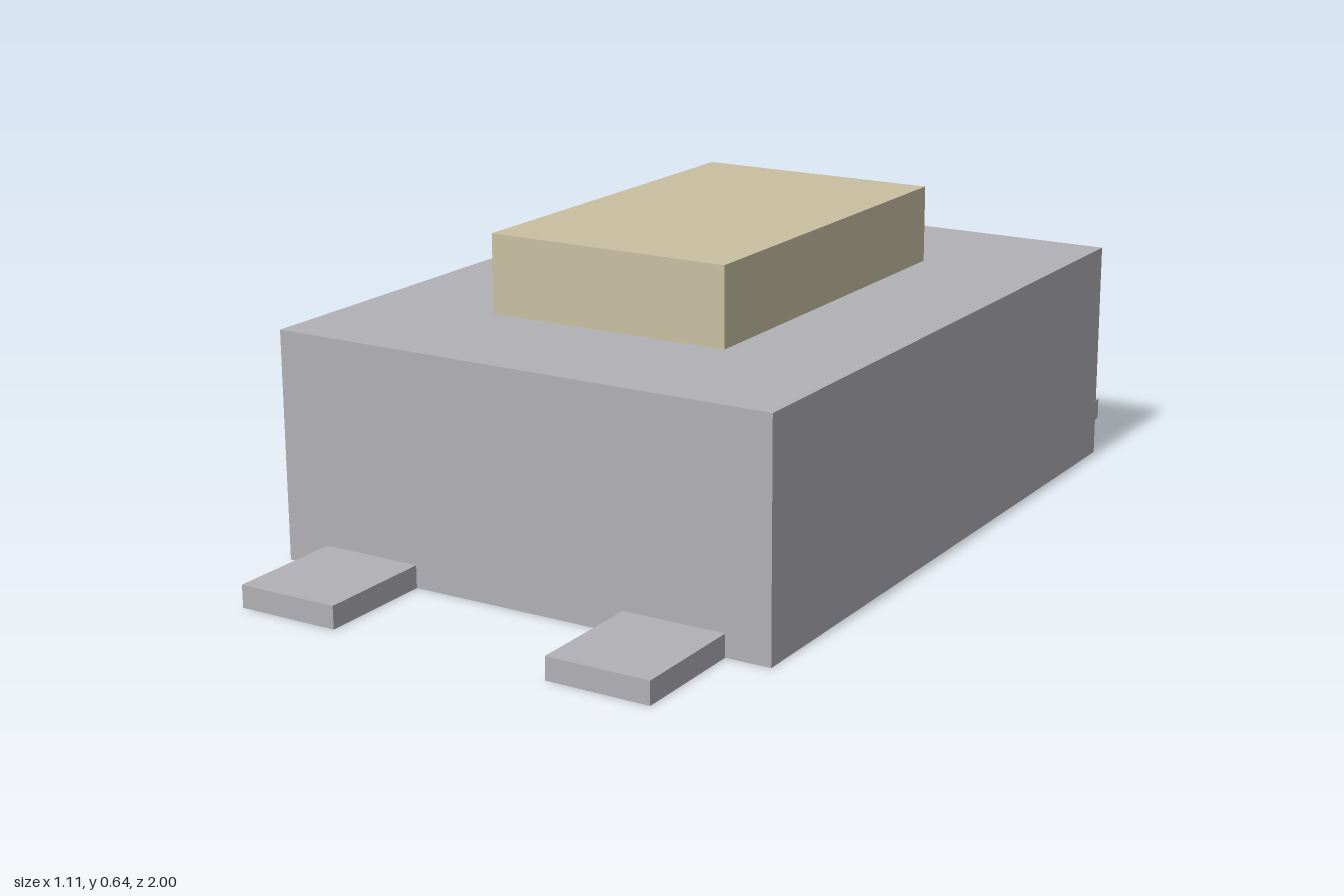
import * as THREE from 'three';

export function createModel() {
  const group = new THREE.Group();
  const metal = new THREE.MeshStandardMaterial({ color: 0xb0b0b6 });
  metal.name = 'grey metal';
  const cream = new THREE.MeshStandardMaterial({ color: 0xc9bfa1 });
  cream.name = 'tan plastic';

  // Box given by its size and the centre of its base
  function addBox(name, material, [w, h, d], [x, y, z]) {
    const mesh = new THREE.Mesh(new THREE.BoxGeometry(w, h, d), material);
    mesh.name = name;
    mesh.position.set(x, y + h / 2, z);
    group.add(mesh);
  }

  const bodyWidth = 1.11, bodyHeight = 0.478, bodyDepth = 1.49;
  addBox('body', metal, [bodyWidth, bodyHeight, bodyDepth], [0, 0, 0]);

  // Push button on top of the body
  addBox('button', cream, [0.538, 0.165, 0.855], [0, bodyHeight, 0]);

  // Four flat terminals, from the body's ends outwards
  const length = 1 - bodyDepth / 2;
  for (const [end, sz] of [['front', 1], ['back', -1]]) {
    for (const [side, sx] of [['Left', 1], ['Right', -1]]) {
      addBox(`${end}${side}Terminal`, metal, [0.22, 0.047, length], [sx * 0.349, 0, sz * (1 - length / 2)]);
    }
  }
  return group;
}
